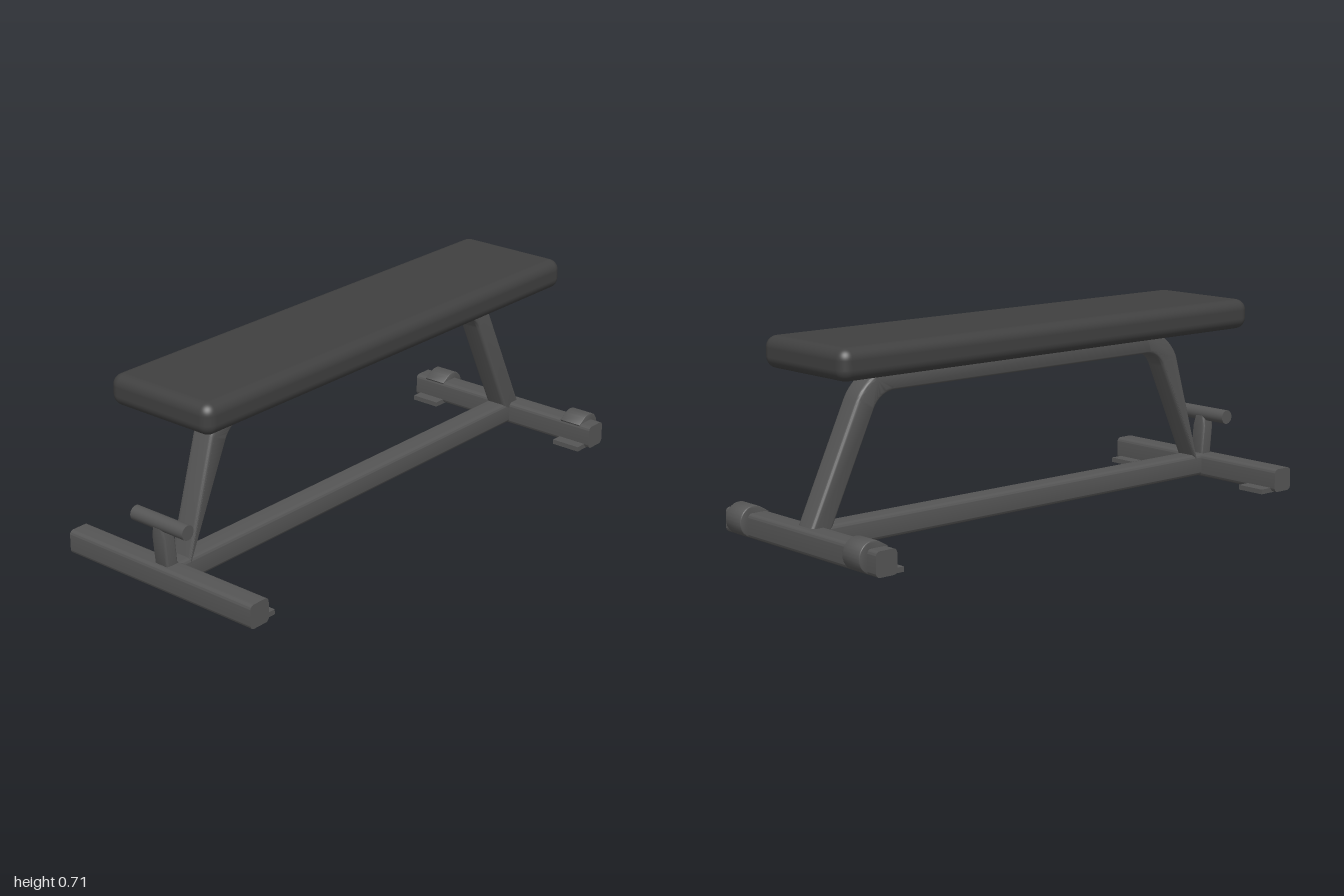
import * as THREE from 'three';
import { toCreasedNormals } from 'three/addons/utils/BufferGeometryUtils.js';
import { RoundedBoxGeometry } from 'three/addons/geometries/RoundedBoxGeometry.js';

const frameMat = new THREE.MeshStandardMaterial({ color: 0x555555 });
const padMat = new THREE.MeshStandardMaterial({ color: 0x404040 });

function roundedRect(w, h, r) {
  const s = new THREE.Shape(), x = w / 2, y = h / 2, q = Math.PI / 2;
  s.absarc(x - r, y - r, r, 0, q);
  s.absarc(-x + r, y - r, r, q, 2 * q);
  s.absarc(-x + r, -y + r, r, 2 * q, 3 * q);
  s.absarc(x - r, -y + r, r, 3 * q, 4 * q);
  s.closePath();
  return s;
}

// Extrusion centred on its own depth, with an optional inset bevel
function extrude(shape, depth, bevel = 0) {
  const g = new THREE.ExtrudeGeometry(shape, {
    depth: depth - 2 * bevel, curveSegments: 8, bevelEnabled: bevel > 0,
    bevelSize: bevel, bevelThickness: bevel, bevelOffset: -bevel, bevelSegments: 4,
  });
  g.translate(0, 0, -(depth - 2 * bevel) / 2);
  return toCreasedNormals(g, 0.6);
}

// Side profile (z, y) extruded across x
const extrudeAcross = (shape, width, bevel) => extrude(shape, width, bevel).rotateY(-Math.PI / 2);

// Bent tube: two sloping legs joined by a level top rail
function archShape() {
  const R = 0.14, h = 0.04, base = 0.925, baseY = 0.05, corner = 0.685, topY = 0.555;
  const a = Math.atan2(corner - base, baseY - topY) + Math.PI; // slope of the leg's normal
  const t = R * Math.tan((Math.PI / 2 - a) / 2);
  const c = corner - t, cy = topY - R, q = Math.PI / 2;
  const foot = (side, off) => [side * (base + off * Math.cos(a)), baseY + off * Math.sin(a)];
  const s = new THREE.Shape();
  s.moveTo(...foot(1, h));
  s.absarc(c, cy, R + h, a, q);
  s.absarc(-c, cy, R + h, q, Math.PI - a);
  s.lineTo(...foot(-1, h));
  s.lineTo(...foot(-1, -h));
  s.absarc(-c, cy, R - h, Math.PI - a, q, true);
  s.absarc(c, cy, R - h, q, a, true);
  s.lineTo(...foot(1, -h));
  s.closePath();
  return s;
}

export function createModel() {
  const model = new THREE.Group();
  const add = (name, geometry, x, y, z, material = frameMat) => {
    const mesh = new THREE.Mesh(geometry, material);
    mesh.name = name;
    mesh.position.set(x, y, z);
    model.add(mesh);
    return mesh;
  };

  // Padded seat
  add('pad', new RoundedBoxGeometry(0.45, 0.111, 1.91, 6, 0.04), 0, 0.6525, 0.015, padMat);

  // Frame
  add('archTube', extrudeAcross(archShape(), 0.088, 0.014), 0, 0, 0.013);
  add('lowerRail', extrude(roundedRect(0.088, 0.083, 0.016), 1.83), 0, 0.05, 0.015);
  for (const [name, z] of [['frontCrossbar', 0.957], ['rearCrossbar', -0.925]]) {
    add(name, extrude(roundedRect(0.086, 0.087, 0.016), 0.84).rotateY(Math.PI / 2), 0, 0.0465, z);
  }

  // Rear wheel profile: round behind, sloping down onto the crossbar in front
  const wheel = new THREE.Shape();
  wheel.absarc(0, 0, 0.056, Math.PI / 3, Math.PI * 1.5);
  wheel.lineTo(0.03, -0.045);
  wheel.lineTo(0.062, 0.028);
  wheel.closePath();

  for (const side of [-1, 1]) {
    // Flat feet reaching inward from beneath each crossbar
    add('frontFoot', new THREE.BoxGeometry(0.115, 0.018, 0.1), side * 0.3425, 0.009, 0.915);
    add('rearFoot', new THREE.BoxGeometry(0.115, 0.018, 0.085), side * 0.3425, 0.009, -0.8825);
    add('rearWheel', extrudeAcross(wheel, 0.09, 0.004), side * 0.33, 0.06, -0.944);
  }

  // Carrying handle on a tapered stem
  const stemShape = new THREE.Shape([
    [-0.03, 0], [0.03, 0], [0.03, 0.12], [0.02, 0.165], [-0.02, 0.165], [-0.03, 0.12],
  ].map(([x, y]) => new THREE.Vector2(x, y)));
  add('handleStem', extrude(stemShape, 0.05, 0.008), 0, 0.075, 0.953).rotation.x = 0.1;
  add('handle', new THREE.CylinderGeometry(0.0265, 0.0265, 0.24, 24).rotateZ(Math.PI / 2), 0, 0.2415, 0.97);

  return model;
}
